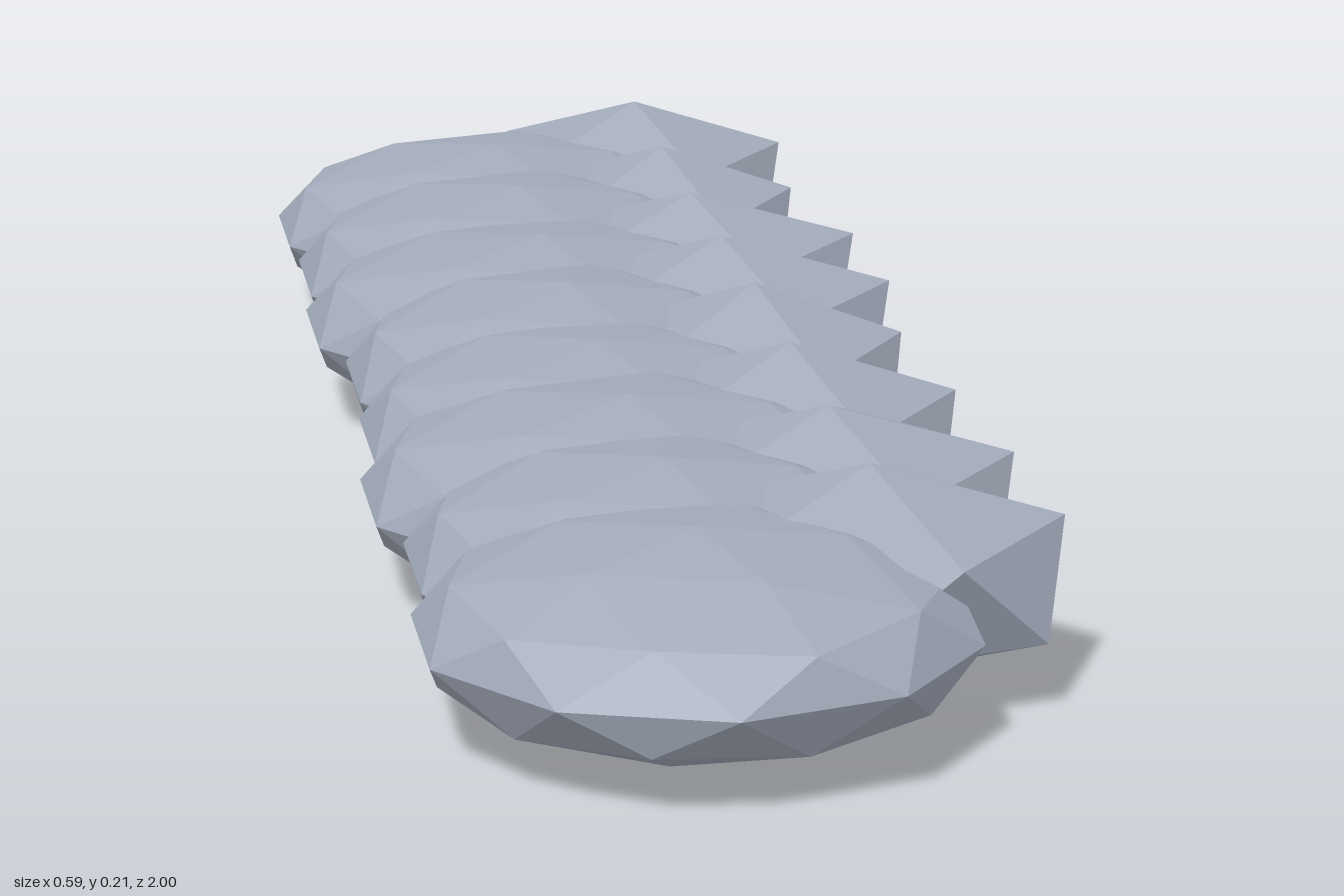
import * as THREE from 'three';

const stone = new THREE.MeshStandardMaterial({ color: 0xa3abbb, flatShading: true });
stone.name = 'blueGreyStone';

// faceted boulder with one vertex straight up, squashed to its radii
function boulder(name, detail, [x, y, z], [rx, ry, rz]) {
  const geo = new THREE.IcosahedronGeometry(1, detail);
  geo.rotateZ(-Math.atan(2 / (1 + Math.sqrt(5))));
  geo.scale(rx, ry, rz);
  geo.computeVertexNormals();
  const mesh = new THREE.Mesh(geo, stone);
  mesh.name = name;
  mesh.position.set(x, y, z);
  return mesh;
}

export function createModel() {
  const model = new THREE.Group();
  model.name = 'stoneRow';

  // large stones, front to back: [width radius, height radius]
  const large = [
    [0.251, 0.093], [0.235, 0.095], [0.255, 0.095], [0.235, 0.092],
    [0.228, 0.095], [0.251, 0.092], [0.24, 0.094], [0.245, 0.091],
  ];
  large.forEach(([rx, ry], i) => {
    const rz = i === 7 ? 0.235 : 0.253;
    model.add(boulder('largeStone' + (i + 1), 1, [-0.055, 0.098, 0.747 - 0.211 * i], [rx, ry, rz]));
  });

  // small stones along the left edge, set between the large ones
  const small = [
    [0.197, 0.098], [0.194, 0.092], [0.179, 0.096], [0.164, 0.1],
    [0.194, 0.095], [0.194, 0.09], [0.159, 0.091], [0.183, 0.094],
  ];
  small.forEach(([rx, ry], i) => {
    model.add(boulder('smallStone' + (i + 1), 0, [0.115, 0.112, 0.64 - 0.2115 * i], [rx, ry, 0.187]));
  });

  return model;
}
